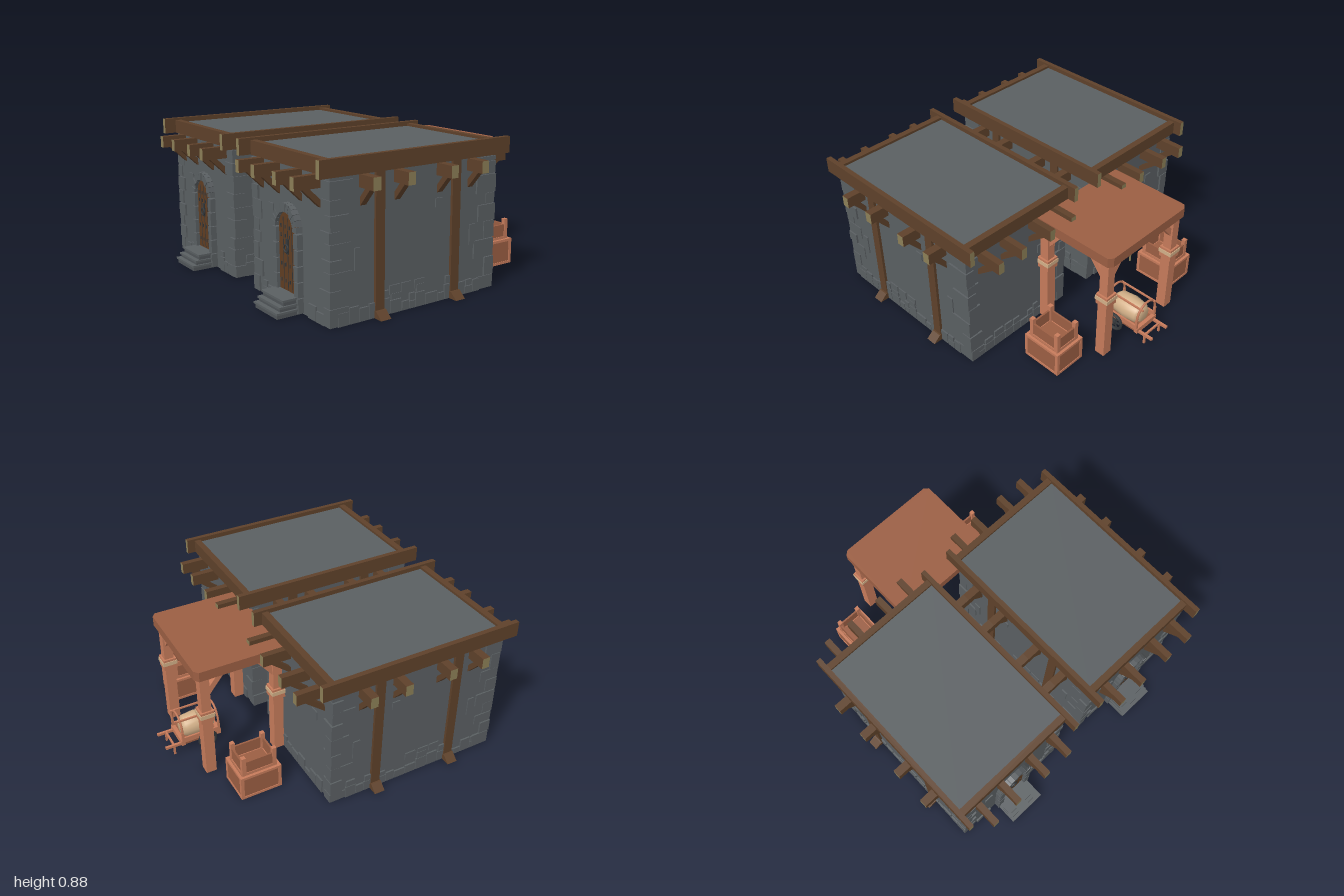
import * as THREE from 'three';

const mat = (name, color) => Object.assign(new THREE.MeshStandardMaterial({ color }), { name });
const M = {
  stone: mat('stone', 0x5a5f62),
  trim: mat('dark stone', 0x505558),
  wood: mat('dark timber', 0x5e412a),
  cap: mat('cut timber ends', 0x8c7f57),
  door: mat('door wood', 0x603d22),
  red: mat('red timber', 0xc67b5b),
  plank: mat('red planks', 0x9b5e43),
  iron: mat('iron', 0x34383b),
  cream: mat('cream cloth', 0xd3b088),
};

let seed = 7;
const rnd = (a, b) => {
  seed = (seed * 16807) % 2147483647;
  return a + (b - a) * seed / 2147483647;
};

function add(parent, name, geo, material, x = 0, y = 0, z = 0) {
  const m = new THREE.Mesh(geo, material);
  m.name = name;
  m.position.set(x, y, z);
  parent.add(m);
  return m;
}
const box = (p, name, material, w, h, d, x, y, z) =>
  add(p, name, new THREE.BoxGeometry(w, h, d), material, x, y, z);
const group = (p, name, x = 0, y = 0, z = 0) => {
  const g = new THREE.Group();
  g.name = name;
  g.position.set(x, y, z);
  p.add(g);
  return g;
};
// square bar between two points
function bar(p, name, material, a, b, w, h = w) {
  const A = new THREE.Vector3(...a), B = new THREE.Vector3(...b);
  const m = box(p, name, material, w, h, A.distanceTo(B), 0, 0, 0);
  m.position.copy(A).add(B).multiplyScalar(0.5);
  m.quaternion.setFromRotationMatrix(new THREE.Matrix4().lookAt(B, A, new THREE.Vector3(0, 1, 0)));
  return m;
}
const endsX = [M.cap, M.cap, M.wood, M.wood, M.wood, M.wood];
const endsZ = [M.wood, M.wood, M.wood, M.wood, M.cap, M.cap];

const HX = 0.38, HZ = 0.555; // wall half sizes

// arched door with stone surround and steps, local z = 0 at the wall face
function doorway(p) {
  const g = group(p, 'doorway', 0, 0, HZ);
  const s = new THREE.Shape();
  s.moveTo(-0.09, 0.09);
  s.lineTo(0.09, 0.09);
  s.lineTo(0.09, 0.44);
  s.absellipse(0, 0.44, 0.09, 0.095, 0, Math.PI, false);
  s.lineTo(-0.09, 0.09);
  add(g, 'door', new THREE.ExtrudeGeometry(s, { depth: 0.015, bevelEnabled: false, curveSegments: 10 }), M.door);
  for (const x of [-0.043, 0, 0.043]) box(g, 'plankGap', M.iron, 0.003, 0.4, 0.004, x, 0.3, 0.015);
  for (const x of [-0.064, -0.022, 0.022, 0.064])
    for (const y of [0.15, 0.24, 0.4, 0.45]) box(g, 'doorStud', M.iron, 0.005, 0.02, 0.006, x, y, 0.017);
  box(g, 'handlePlate', M.iron, 0.02, 0.085, 0.008, 0, 0.345, 0.018);
  add(g, 'handleRing', new THREE.TorusGeometry(0.021, 0.005, 6, 14), M.iron, 0, 0.335, 0.026);
  // jamb stones and arch stones
  for (const sx of [-1, 1])
    for (let i = 0; i < 5; i++)
      box(g, 'jambStone', M.stone, 0.04, 0.082, rnd(0.032, 0.042), sx * 0.107, 0.048 + i * 0.087, 0.018);
  const n = 13;
  for (let i = 0; i < n; i++) {
    const v = new THREE.Shape(), t0 = Math.PI * (i + 0.03) / n, t1 = Math.PI * (i + 0.97) / n;
    const pt = (t, o) => [Math.cos(t) * (0.087 + o), 0.445 + Math.sin(t) * (0.092 + o * 1.25)];
    v.moveTo(...pt(t0, 0));
    v.lineTo(...pt(t0, 0.039));
    v.lineTo(...pt(t1, 0.039));
    v.lineTo(...pt(t1, 0));
    add(g, 'archStone', new THREE.ExtrudeGeometry(v, { depth: rnd(0.032, 0.042), bevelEnabled: false }), M.stone);
  }
  [[0.095, 0.12], [0.063, 0.142], [0.035, 0.163]].forEach(([h, d], i) => {
    box(g, 'step', M.trim, 0.215 + i * 0.006, h - 0.012, d - 0.006, 0, (h - 0.012) / 2, d / 2 - 0.003);
    box(g, 'tread', M.stone, 0.225 + i * 0.01, 0.012, d, 0, h - 0.006, d / 2);
  });
}

// stones along corners, base and faces
function stonework(p) {
  const g = group(p, 'stonework');
  for (const sx of [-1, 1]) for (const sz of [-1, 1]) {
    let y = 0;
    for (let i = 0; y < 0.75; i++) {
      const h = Math.min(rnd(0.06, 0.12), 0.775 - y), long = i % 2;
      const w = long ? rnd(0.075, 0.1) : rnd(0.045, 0.065), d = long ? rnd(0.06, 0.08) : rnd(0.11, 0.15);
      const ox = rnd(0.004, 0.012), oz = rnd(0.004, 0.013);
      box(g, 'cornerStone', M.stone, w, h - 0.005, d, sx * (HX + ox - w / 2), y + h / 2, sz * (HZ + oz - d / 2));
      y += h;
    }
  }
  const row = (half, place) => {
    for (let t = -half + 0.09; t < half - 0.09;) {
      const w = rnd(0.045, 0.09), h = rnd(0.035, 0.09);
      place(t + w / 2, w - 0.004, h);
      if (rnd(0, 1) > 0.55) place(t + w / 2, w * 0.8, rnd(0.03, 0.045), h + 0.004);
      t += w;
    }
  };
  for (const s of [-1, 1]) {
    row(HZ, (t, w, h, y = 0) => box(g, 'baseStone', M.stone, 0.05, h, w, s * (HX - 0.015), y + h / 2, t));
    row(HX, (t, w, h, y = 0) => {
      if (s < 0 || Math.abs(t) > 0.15) box(g, 'baseStone', M.stone, w, h, 0.05, t, y + h / 2, s * (HZ - 0.015));
    });
    for (const [z, y, w, h] of [[0.39, 0.34, 0.04, 0.12], [-0.4, 0.34, 0.045, 0.12], [0.15, 0.13, 0.07, 0.05], [0.07, 0.13, 0.07, 0.05], [-0.02, 0.13, 0.07, 0.05], [-0.15, 0.56, 0.05, 0.05]])
      box(g, 'wallStone', M.stone, 0.014, h, w, s * HX, y, z);
    box(g, 'wallStone', M.stone, 0.055, 0.055, 0.014, -0.19, 0.52, s * HZ);
  }
}

function house(p, x) {
  const g = group(p, 'house', x, 0, 0.26);
  stonework(g);
  doorway(g);
  // flat roof with timber edging, open underneath
  box(g, 'roof', M.stone, 0.79, 0.06, 1.1, 0, 0.82, -0.01);
  box(g, 'frontEdgeBeam', M.wood, 0.78, 0.082, 0.04, 0, 0.824, 0.547);
  box(g, 'backEdgeBeam', M.wood, 0.78, 0.082, 0.04, 0, 0.824, -0.568);
  for (const s of [-1, 1]) {
    box(g, 'sideWall', M.stone, 0.012, 0.79, HZ * 2, s * (HX - 0.006), 0.395, 0);
    box(g, 'endWall', M.stone, HX * 2, 0.79, 0.012, 0, 0.395, s * (HZ - 0.006));
    box(g, 'sideEdgeBeam', endsZ, 0.03, 0.094, 1.28, s * 0.4, 0.831, 0);
    // wall posts with wedge feet
    for (const z of [-0.265, 0.255]) {
      box(g, 'wallPost', M.wood, 0.024, 0.79, 0.058, s * 0.384, 0.395, z);
      const f = new THREE.Shape([[0.38, 0], [0.45, 0], [0.405, 0.04], [0.38, 0.042]].map(([a, b]) => new THREE.Vector2(a * s, b)));
      add(g, 'postFoot', new THREE.ExtrudeGeometry(f, { depth: 0.066, bevelEnabled: false }), M.wood, 0, 0, z - 0.033);
    }
  }
  // joists in both directions, each end propped by a brace
  for (const t of [-0.28, -0.11, 0.11, 0.28]) {
    box(g, 'longJoist', endsZ, 0.038, 0.07, 1.44, t, 0.75, -0.01);
    for (const s of [-1, 1])
      bar(g, 'joistBrace', M.wood, [t, 0.625, s * 0.545], [t, 0.73, s * 0.665 - 0.01], 0.03);
  }
  for (const t of [-0.375, -0.155, 0.135, 0.355]) {
    box(g, 'crossJoist', endsX, 1, 0.068, 0.048, 0, 0.744, t);
    for (const s of [-1, 1])
      bar(g, 'joistBrace', M.wood, [s * 0.37, 0.625, t], [s * 0.46, 0.73, t], 0.036, 0.03);
  }
}

function shelter(p) {
  const g = group(p, 'shelter');
  const s = new THREE.Shape([[-0.34, 0.29], [0.34, 0.29], [0.34, 0.825], [0.312, 0.847], [-0.312, 0.847], [-0.34, 0.825]].map(a => new THREE.Vector2(...a)));
  const slab = add(g, 'shelterRoof', new THREE.ExtrudeGeometry(s, { depth: 0.062, bevelEnabled: false }), M.plank, 0, 0.696, 0);
  slab.rotation.x = -Math.PI / 2;
  for (const sx of [-1, 1]) for (const [z, dz] of [[-0.336, -1], [-0.79, 1]]) {
    const x = sx * 0.29;
    box(g, 'shelterPost', M.red, 0.058, 0.7, 0.058, x, 0.35, z);
    box(g, 'postBase', M.red, 0.064, 0.39, 0.064, x, 0.195, z);
    box(g, 'postCollar', M.red, 0.082, 0.072, 0.082, x, 0.424, z);
    box(g, 'collarBand', M.cream, 0.09, 0.026, 0.09, x, 0.432, z);
    bar(g, 'postBrace', M.red, [x, 0.55, z], [x, 0.7, z + dz * 0.12], 0.034);
    bar(g, 'postBrace', M.red, [x, 0.55, z], [x - sx * 0.12, 0.7, z], 0.034);
  }
  // hanging hook and rope
  bar(g, 'hookBracket', M.cap, [0, 0.69, -0.58], [0, 0.66, -0.7], 0.04, 0.02);
  box(g, 'hookBlock', M.cap, 0.034, 0.055, 0.03, 0, 0.67, -0.72);
  add(g, 'rope', new THREE.CylinderGeometry(0.006, 0.006, 0.215, 6), M.cap, 0, 0.587, -0.72);
}

// large crate with a smaller open crate on top
function crate(p, x) {
  const g = group(p, 'crateStack', x, 0, -0.605);
  const frame = (w, d, y, h, t, rise, rails) => {
    for (const sx of [-1, 1]) {
      box(g, 'crateSide', M.plank, 0.012, h - 0.02, d - t, sx * (w / 2 - 0.01), y + h / 2 + 0.005, 0);
      box(g, 'crateEnd', M.plank, w - t, h - 0.02, 0.012, 0, y + h / 2 + 0.005, sx * (d / 2 - 0.01));
      for (const sz of [-1, 1])
        box(g, 'cratePost', M.red, t, h + rise, t, sx * (w - t) / 2, y + (h + rise) / 2, sz * (d - t) / 2);
      for (const yy of rails) {
        box(g, 'crateRail', M.red, t * 0.8, 0.016, d - t, sx * (w - t * 0.8) / 2, yy, 0);
        box(g, 'crateRail', M.red, w - t, 0.016, t * 0.8, 0, yy, sx * (d - t * 0.8) / 2);
      }
    }
    box(g, 'crateFloor', M.plank, w - t, 0.012, d - t, 0, y + 0.01, 0);
  };
  frame(0.212, 0.258, 0, 0.16, 0.02, 0, [0.008, 0.152]);
  box(g, 'crateLid', M.plank, 0.19, 0.012, 0.235, 0, 0.148, 0);
  frame(0.172, 0.218, 0.155, 0.1, 0.026, 0.03, [0.166]);
}

function cart(p) {
  const g = group(p, 'handCart');
  box(g, 'cartBed', M.plank, 0.17, 0.02, 0.24, 0, 0.07, -0.75);
  for (const z of [-0.635, -0.87]) {
    box(g, 'cartBoard', M.red, 0.18, 0.035, 0.024, 0, 0.075, z);
    const hoop = add(g, 'cartHoop', new THREE.TorusGeometry(0.085, 0.007, 6, 18, Math.PI), M.red, 0, 0.155, z);
    hoop.scale.y = 1.08;
    for (const s of [-1, 1]) box(g, 'hoopLeg', M.red, 0.014, 0.08, 0.014, s * 0.085, 0.115, z);
  }
  for (const s of [-1, 1]) {
    box(g, 'cartSide', M.red, 0.012, 0.035, 0.24, s * 0.084, 0.095, -0.75);
    bar(g, 'hoopRail', M.red, [s * 0.058, 0.225, -0.63], [s * 0.058, 0.225, -0.89], 0.01);
    bar(g, 'cartHandle', M.red, [s * 0.07, 0.065, -0.72], [s * 0.07, 0.065, -0.98], 0.016);
    box(g, 'cartLeg', M.red, 0.012, 0.06, 0.012, s * 0.07, 0.03, -0.925);
    const w = group(g, 'wheel', s * 0.108, 0.064, -0.72);
    w.rotation.y = Math.PI / 2;
    add(w, 'tyre', new THREE.TorusGeometry(0.053, 0.01, 6, 18), M.iron);
    add(w, 'hub', new THREE.CylinderGeometry(0.015, 0.015, 0.026, 10), M.iron).rotation.x = Math.PI / 2;
    for (let i = 0; i < 3; i++) box(w, 'spoke', M.iron, 0.1, 0.009, 0.008, 0, 0, 0).rotation.z = i * Math.PI / 3;
  }
  box(g, 'axle', M.red, 0.22, 0.012, 0.012, 0, 0.064, -0.72);
  box(g, 'handleBar', M.red, 0.14, 0.012, 0.012, 0, 0.065, -0.925);
  // rounded cloth load
  const load = [[0, -0.105], [0.045, -0.105], [0.067, -0.08], [0.076, 0], [0.067, 0.08], [0.045, 0.105], [0, 0.105]];
  add(g, 'load', new THREE.LatheGeometry(load.map(a => new THREE.Vector2(...a)), 16), M.cream, 0, 0.133, -0.75).rotation.x = Math.PI / 2;
}

export function createModel() {
  const root = new THREE.Group();
  root.name = 'courtyardHouses';
  for (const s of [-1, 1]) {
    house(root, s * 0.5);
    crate(root, s * 0.517);
  }
  shelter(root);
  cart(root);
  return root;
}
